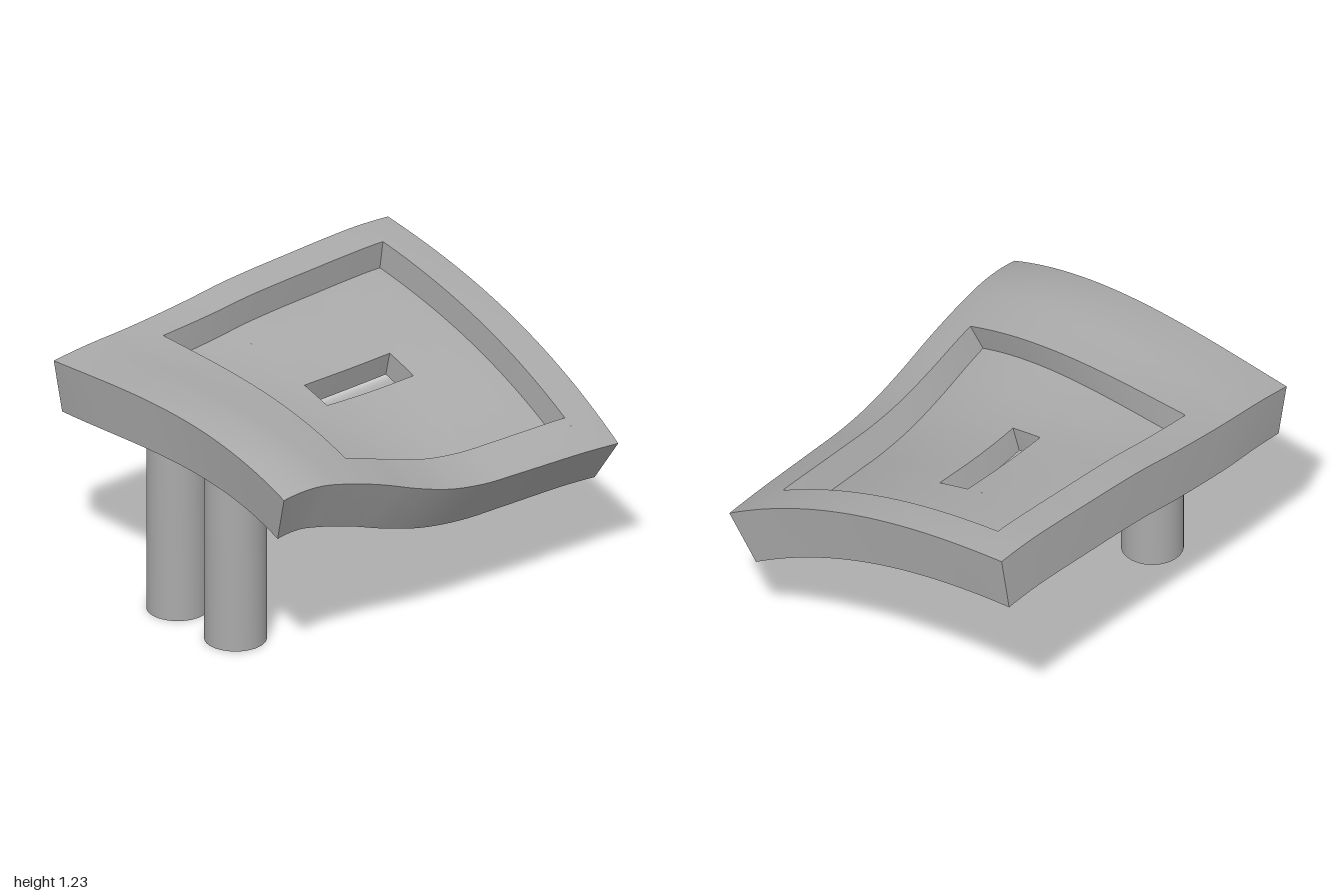
import * as THREE from 'three';
import { toCreasedNormals } from 'three/addons/utils/BufferGeometryUtils.js';
import { ParametricGeometry } from 'three/addons/geometries/ParametricGeometry.js';

const THICK = 0.265, POCKET_DEPTH = 0.14;
const outer = { x0: -0.82, x1: 0.845, z0: -1, z1: 1 };
const pocket = { x0: -0.645, x1: 0.67, z0: -0.825, z1: 0.49 };
const slot = { x0: -0.075, x1: 0.105, z0: -0.42, z1: 0.09 };

// Heights and cross slopes of the two long edges, sampled evenly from z = 1 to z = -1
const leftY = [1.10, 1.12, 1.13, 1.145, 1.165, 1.19, 1.205, 1.215, 1.225, 1.23, 1.22];
const rightY = [1.005, 1.012, 0.967, 0.90, 0.82, 0.755, 0.72, 0.71, 0.703, 0.695, 0.68];
const leftSlope = [0.08, 0.04, 0, -0.02, -0.04, -0.05, -0.06, -0.07, -0.08, -0.09, -0.10];
const rightSlope = [-0.39, -0.40, -0.43, -0.47, -0.52, -0.56, -0.59, -0.61, -0.63, -0.65, -0.66];

// Smooth interpolation through evenly spaced samples
function sample(p, z) {
  const n = p.length - 1;
  const t = ((1 - z) / 2) * n;
  const i = Math.min(n - 1, Math.max(0, Math.floor(t)));
  const f = t - i;
  const b = p[i], c = p[i + 1];
  const a = i > 0 ? p[i - 1] : 3 * b - 3 * c + p[i + 2];
  const d = i < n - 1 ? p[i + 2] : 3 * c - 3 * b + p[i - 1];
  return b + 0.5 * f * (c - a + f * (2 * a - 5 * b + 4 * c - d + f * (3 * (b - c) + d - a)));
}

// Top surface: a cubic arch across x between the two edges
function height(x, z) {
  const w = outer.x1 - outer.x0, t = (x - outer.x0) / w;
  const t2 = t * t, t3 = t2 * t;
  return (2 * t3 - 3 * t2 + 1) * sample(leftY, z) + (3 * t2 - 2 * t3) * sample(rightY, z)
    + w * ((t3 - 2 * t2 + t) * sample(leftSlope, z) + (t3 - t2) * sample(rightSlope, z));
}

// Point at depth d below the top surface, measured along its normal
function place(x, z, d, target) {
  const e = 0.002;
  const sx = (height(x + e, z) - height(x - e, z)) / (2 * e);
  const sz = (height(x, z + e) - height(x, z - e)) / (2 * e);
  const k = d / Math.hypot(sx, 1, sz);
  return target.set(x + sx * k, height(x, z) - k, z + sz * k);
}

export function createModel() {
  const model = new THREE.Group();
  const grey = new THREE.MeshStandardMaterial({ color: 0xaaaaaa });
  grey.name = 'plain grey';

  const group = (name, parent) => {
    const g = new THREE.Group();
    g.name = name;
    parent.add(g);
    return g;
  };
  const add = (name, geometry, parent) => {
    const mesh = new THREE.Mesh(geometry, grey);
    mesh.name = name;
    parent.add(mesh);
    return mesh;
  };
  const lerp = THREE.MathUtils.lerp;
  const steps = (len) => Math.max(3, Math.ceil(len * 30));

  // Curved sheet over a rectangle at one depth
  function sheet(name, r, d, up, parent) {
    const nx = steps(r.x1 - r.x0), nz = steps(r.z1 - r.z0);
    const at = (s, t, p) => place(lerp(r.x0, r.x1, s), lerp(r.z0, r.z1, t), d, p);
    add(name, up
      ? new ParametricGeometry((u, v, p) => at(v, u, p), nz, nx)
      : new ParametricGeometry((u, v, p) => at(u, v, p), nx, nz), parent);
  }

  // Four sheets that frame a rectangular opening
  function frame(name, r, hole, d, up, parent) {
    sheet(name, { ...r, z0: hole.z1 }, d, up, parent);
    sheet(name, { ...r, z1: hole.z0 }, d, up, parent);
    sheet(name, { ...hole, x0: r.x0, x1: hole.x0 }, d, up, parent);
    sheet(name, { ...hole, x0: hole.x1, x1: r.x1 }, d, up, parent);
  }

  // Four walls between two depths; they face inward when dA < dB
  function walls(name, r, dA, dB, parent) {
    const c = [[r.x0, r.z1], [r.x1, r.z1], [r.x1, r.z0], [r.x0, r.z0]];
    c.forEach((a, i) => {
      const b = c[(i + 1) % 4];
      const n = steps(Math.hypot(b[0] - a[0], b[1] - a[1]));
      add(name, new ParametricGeometry((u, v, p) =>
        place(lerp(a[0], b[0], u), lerp(a[1], b[1], u), lerp(dA, dB, v), p), n, 2), parent);
    });
  }

  // Twisted slab with a sunken tray and a slot through its floor
  const slab = group('slab', model);
  frame('rim', outer, pocket, 0, true, slab);
  walls('trayWall', pocket, 0, POCKET_DEPTH, slab);
  frame('trayFloor', pocket, slot, POCKET_DEPTH, true, slab);
  walls('slotWall', slot, POCKET_DEPTH, THICK, slab);
  frame('underside', outer, slot, THICK, false, slab);
  walls('outerSide', outer, THICK, 0, slab);

  // Two round legs with a bore in the foot
  const profile = [[0, 0.95], [0.05, 0.95], [0.05, 0], [0.145, 0], [0.145, 1.0], [0, 1.0]]
    .map(([x, y]) => new THREE.Vector2(x, y));
  const legGeometry = toCreasedNormals(new THREE.LatheGeometry(profile, 48), 0.6);
  const legs = group('legs', model);
  for (const [name, x] of [['rightLeg', -0.195], ['leftLeg', 0.222]]) {
    add(name, legGeometry, legs).position.set(x, 0, 0.775);
  }
  return model;
}
